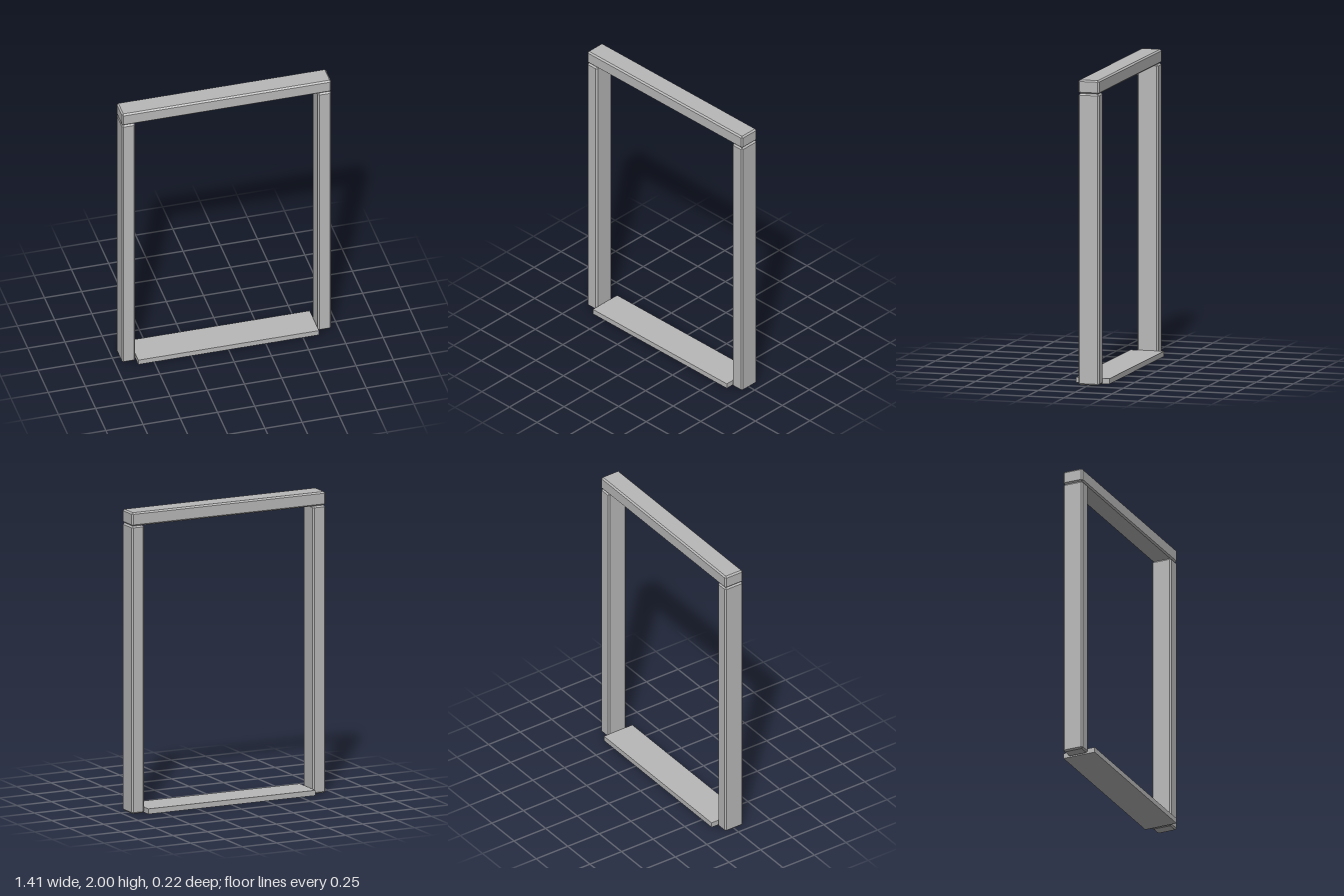
import * as THREE from 'three';
import { ConvexGeometry } from 'three/addons/geometries/ConvexGeometry.js';

// Box with every edge chamfered by c
function chamferedBox(w, h, d, c) {
  const points = [];
  for (const x of [-1, 1]) for (const y of [-1, 1]) for (const z of [-1, 1]) {
    for (let axis = 0; axis < 3; axis++) {
      const inset = [c, c, c];
      inset[axis] = 0;
      points.push(new THREE.Vector3(
        x * (w / 2 - inset[0]), y * (h / 2 - inset[1]), z * (d / 2 - inset[2])));
    }
  }
  return new ConvexGeometry(points);
}

export function createModel() {
  const group = new THREE.Group();
  group.name = 'doorFrame';
  const grey = new THREE.MeshStandardMaterial({ color: 0xb8b8b8 });
  grey.name = 'grey';

  const add = (name, geometry, x, y) => {
    const mesh = new THREE.Mesh(geometry, grey);
    mesh.name = name;
    mesh.position.set(x, y, 0);
    group.add(mesh);
  };

  const width = 1.406, height = 2, depth = 0.14;
  const board = 0.09, chamfer = 0.01;
  const postHeight = height - board;

  // Side posts
  const post = chamferedBox(board, postHeight, depth, chamfer);
  for (const [name, side] of [['leftPost', 1], ['rightPost', -1]]) {
    add(name, post, side * (width - board) / 2, postHeight / 2);
  }

  // Beam resting on the posts
  add('topBeam', chamferedBox(width, board, depth, chamfer), 0, height - board / 2);

  // Plain flat sill between the posts, wider than the frame
  const sillHeight = 0.035;
  add('sill', new THREE.BoxGeometry(1.214, sillHeight, 0.225), 0, sillHeight / 2);

  return group;
}
